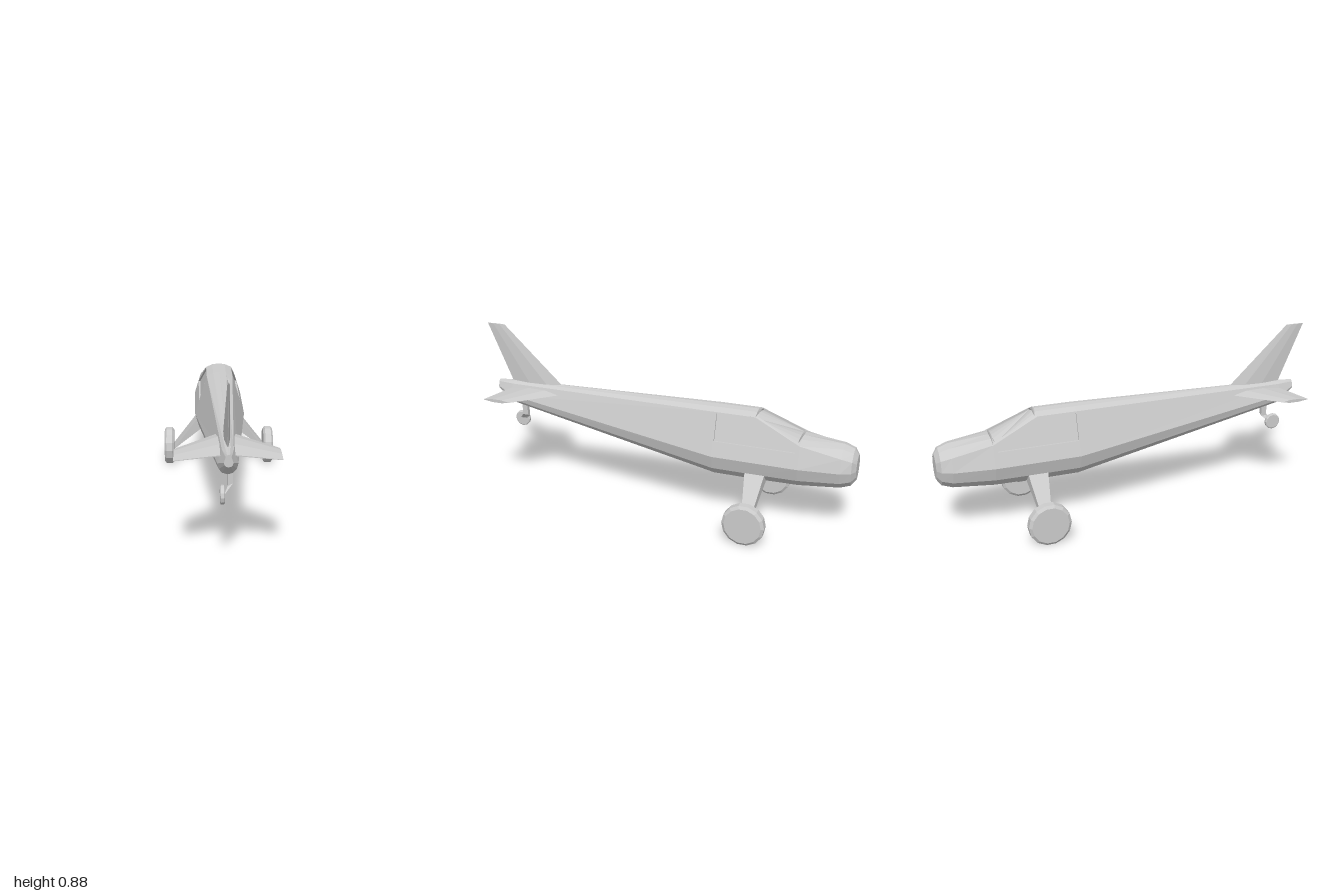
import * as THREE from 'three';

const mat = new THREE.MeshStandardMaterial({ color: 0xcccccc, flatShading: true });
const thinMat = new THREE.MeshStandardMaterial({ color: 0xcccccc, flatShading: true, side: THREE.DoubleSide });

function meshFrom(name, tris, material = mat) {
  const g = new THREE.BufferGeometry();
  g.setAttribute('position', new THREE.Float32BufferAttribute(tris.flat(2), 3));
  g.computeVertexNormals();
  const m = new THREE.Mesh(g, material);
  m.name = name;
  return m;
}

// Skin closed rings of points, cap both ends, and turn all faces outwards
function loft(name, rings, skip = () => false) {
  const tris = [];
  const n = rings[0].length;
  for (let r = 0; r < rings.length - 1; r++) {
    for (let i = 0; i < n; i++) {
      if (skip(r, i)) continue;
      const j = (i + 1) % n, a = rings[r], b = rings[r + 1];
      tris.push([a[i], b[i], b[j]], [a[i], b[j], a[j]]);
    }
  }
  const first = rings[0], last = rings[rings.length - 1];
  for (let i = 1; i < n - 1; i++) {
    tris.push([first[0], first[i], first[i + 1]], [last[0], last[i + 1], last[i]]);
  }
  const c = new THREE.Vector3();
  rings.flat().forEach(p => c.add(new THREE.Vector3(...p)));
  c.divideScalar(n * rings.length);
  let volume = 0;
  for (const t of tris) {
    const [p, q, s] = t.map(v => new THREE.Vector3(...v).sub(c));
    volume += p.dot(q.cross(s));
  }
  return meshFrom(name, volume < 0 ? tris.map(([p, q, s]) => [p, s, q]) : tris);
}

// Skin panel with a sunken pane; map(u, v, depth) places it in space
function recessedPanel(name, outline, opening, map, depth) {
  const V = a => a.map(([u, v]) => new THREE.Vector2(u, v));
  const tris = [];
  const fill = (shape, d) => {
    const g = new THREE.ShapeGeometry(shape).toNonIndexed();
    const p = g.attributes.position;
    for (let i = 0; i < p.count; i += 3) {
      tris.push([0, 1, 2].map(k => map(p.getX(i + k), p.getY(i + k), d)));
    }
  };
  const frame = new THREE.Shape(V(outline));
  frame.holes.push(new THREE.Path(V(opening)));
  fill(frame, 0);
  fill(new THREE.Shape(V(opening)), depth);
  opening.forEach((a, i) => {
    const b = opening[(i + 1) % opening.length];
    tris.push([map(...a, 0), map(...b, 0), map(...b, depth)],
      [map(...a, 0), map(...b, depth), map(...a, depth)]);
  });
  return meshFrom(name, tris, thinMat);
}

// Twelve-point body ring
function bodyRing([z, top, shX, shY, midX, midY, bot]) {
  const half = [
    [0, top], [shX / 2, shY + 0.75 * (top - shY)], [shX, shY], [midX, midY],
    [0.85 * midX, midY - 0.52 * (midY - bot)], [0.52 * midX, bot + 0.15 * (midY - bot)], [0, bot]
  ];
  const mirrored = half.slice(1, 6).reverse().map(([x, y]) => [-x, y]);
  return [...half, ...mirrored].map(([x, y]) => [x, y, z]);
}

// Thin lens-shaped section along z; place(t, z) turns thickness into space
function lens(z0, z1, thick, place) {
  return [[0, 0], [1, 0.3], [1, 0.65], [0.15, 1], [-0.15, 1], [-1, 0.65], [-1, 0.3]]
    .map(([t, k]) => place(t * thick, z0 + (z1 - z0) * k));
}

function wheel(name, r, w, x, y, z, sides) {
  const prof = [[0, -w], [r * 0.87, -w], [r, -w * 0.62], [r, w * 0.62], [r * 0.87, w], [0, w]]
    .map(([a, b]) => new THREE.Vector2(a, b));
  const m = new THREE.Mesh(new THREE.LatheGeometry(prof, sides), mat);
  m.rotation.z = Math.PI / 2;
  m.position.set(x, y, z);
  m.name = name;
  return m;
}

export function createModel() {
  const plane = new THREE.Group();
  plane.name = 'aircraft';

  // Fuselage, nose to tail: z, top, shoulder x/y, widest x/y, bottom
  const stations = [
    [-1, 0.43, 0.05, 0.40, 0.058, 0.365, 0.30],
    [-0.98, 0.46, 0.08, 0.42, 0.09, 0.365, 0.27],
    [-0.93, 0.478, 0.095, 0.435, 0.112, 0.365, 0.253],
    [-0.73, 0.495, 0.102, 0.475, 0.135, 0.365, 0.235],
    [-0.5, 0.60, 0.07, 0.58, 0.135, 0.365, 0.23],
    [-0.3, 0.60, 0.07, 0.58, 0.135, 0.365, 0.23],
    [0.86, 0.58, 0.025, 0.565, 0.045, 0.505, 0.455],
    [0.95, 0.575, 0.012, 0.565, 0.02, 0.54, 0.52]
  ];
  const windowGap = (r, i) => ((r === 3 || r === 4) && (i === 2 || i === 9))
    || (r === 3 && [0, 1, 10, 11].includes(i));
  plane.add(loft('fuselage', stations.map(bodyRing), windowGap));

  // Windshield, with s across and t up the slope
  const across = [-1, -0.5, 0, 0.5, 1];
  const band = (w, lo, hi) => [
    ...across.map(s => [s * w, lo]), ...across.map(s => [-s * w, hi])
  ];
  plane.add(recessedPanel('windshield', band(1, 0, 1), band(0.84, 0.04, 0.95), (s, t, d) => [
    s * (0.102 - 0.032 * t),
    0.475 + 0.105 * t + 0.02 * (1 - s * s) - d * 0.91,
    -0.73 + 0.23 * t + d * 0.41
  ], 0.01));

  for (const side of [1, -1]) {
    const label = side > 0 ? 'left' : 'right';

    // Side window panel
    plane.add(recessedPanel(label + 'SideWindow',
      [[-0.73, 0.365], [-0.3, 0.365], [-0.3, 0.58], [-0.5, 0.58], [-0.73, 0.475]],
      [[-0.715, 0.44], [-0.304, 0.44], [-0.304, 0.573], [-0.498, 0.573]],
      (z, y, d) => [side * (0.135 - 0.302 * (y - 0.365) - d), y, z], 0.01));

    // Tailplane
    plane.add(loft(label + 'Tailplane', [
      lens(0.56, 0.865, 0.015, (t, z) => [side * 0.025, 0.541 + t, z]),
      lens(0.77, 0.92, 0.008, (t, z) => [side * 0.227, 0.539 + t, z])
    ]));

    // Main landing gear
    const legEnd = (xa, ya, xb, yb, z0, z1) => [
      [side * xa, ya, z0], [side * xa, ya, z1], [side * xb, yb, z1], [side * xb, yb, z0]
    ];
    plane.add(loft(label + 'GearLeg', [
      legEnd(0.10, 0.315, 0.055, 0.26, -0.57, -0.465),
      legEnd(0.265, 0.108, 0.262, 0.087, -0.54, -0.497)
    ]));
    plane.add(wheel(label + 'MainWheel', 0.107, 0.027, side * 0.285, 0.107, -0.517, 14));
  }

  // Fin
  plane.add(loft('fin', [
    lens(0.565, 0.865, 0.013, (t, z) => [t, 0.572, z]),
    lens(0.90, 1.0, 0.004, (t, z) => [t, 0.885, z])
  ]));

  // Tail wheel on its cranked strut
  const rect = (x, y, z, dx, dz, tilt = 0) => [
    [x - dx, y - tilt, z - dz], [x + dx, y + tilt, z - dz],
    [x + dx, y + tilt, z + dz], [x - dx, y - tilt, z + dz]
  ];
  plane.add(loft('tailWheelStrut', [
    rect(0.013, 0.48, 0.795, 0.011, 0.015),
    rect(0.013, 0.388, 0.795, 0.011, 0.015, 0.006),
    rect(-0.014, 0.354, 0.832, 0.005, 0.01, 0.008)
  ]));
  plane.add(wheel('tailWheel', 0.043, 0.01, -0.022, 0.353, 0.835, 12));

  return plane;
}
